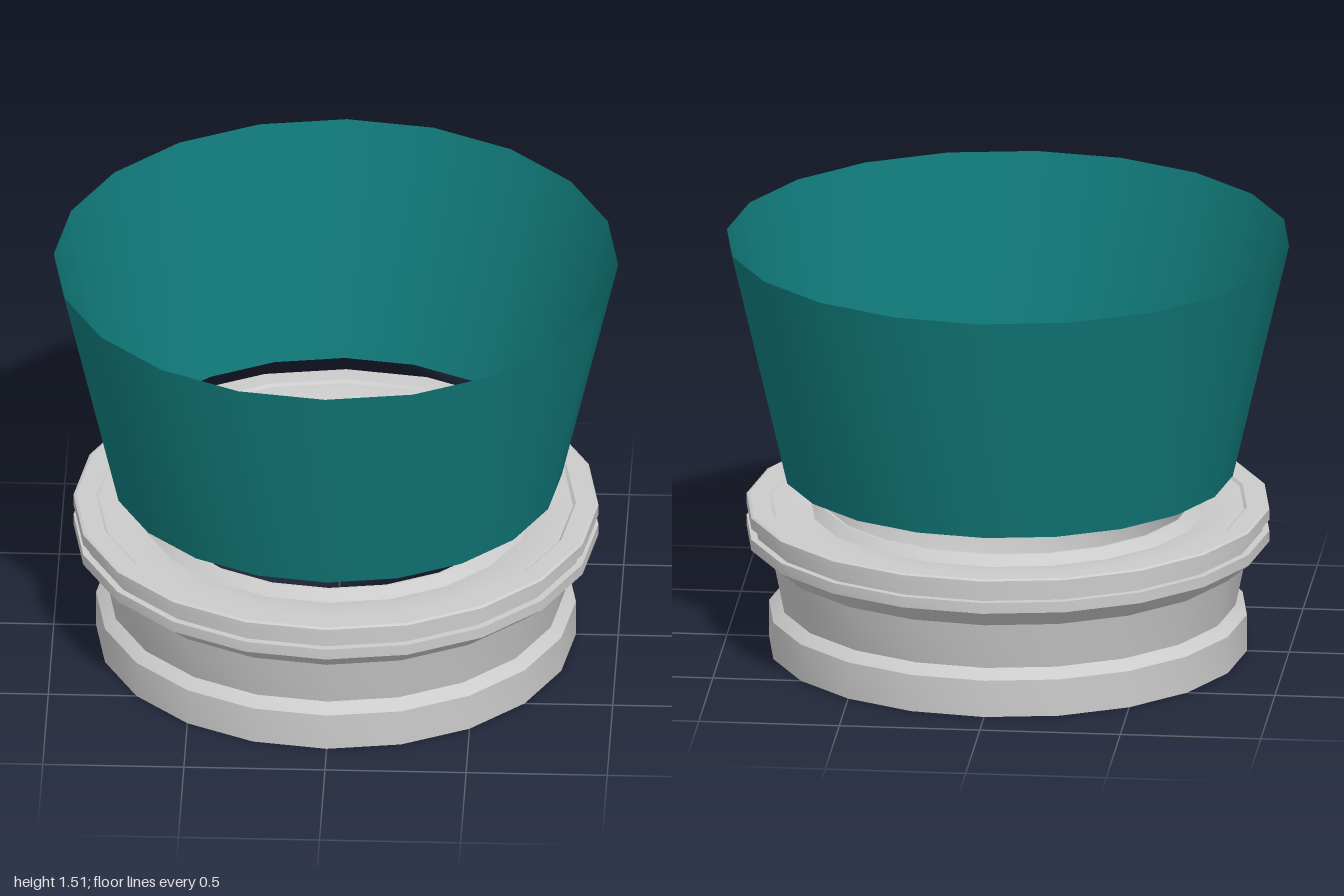
import * as THREE from 'three';
import { toCreasedNormals } from 'three/addons/utils/BufferGeometryUtils.js';

const SIDES = 20;

// Revolve a profile of [radius, height] pairs, smooth around and sharp at the steps
function revolve(name, profile, material) {
  const points = profile.map(([r, y]) => new THREE.Vector2(r, y));
  const geometry = toCreasedNormals(new THREE.LatheGeometry(points, SIDES), 0.4);
  const mesh = new THREE.Mesh(geometry, material);
  mesh.name = name;
  return mesh;
}

export function createModel() {
  const group = new THREE.Group();
  group.name = 'hoodAndCollar';

  const grey = new THREE.MeshStandardMaterial({ color: 0xcccccc });
  const teal = new THREE.MeshStandardMaterial({ color: 0x117a7a, side: THREE.DoubleSide });

  // Hollow collar: up the outside, across the rim, down the bore, back along the foot
  group.add(revolve('collar', [
    [0.85, 0], [0.85, 0.135], [0.81, 0.17],       // foot band and shoulder
    [0.845, 0.34], [0.93, 0.41],                  // waist and flare
    [0.93, 0.45], [0.905, 0.45], [0.905, 0.49],   // groove in the flange
    [0.93, 0.49], [0.93, 0.53], [0.92, 0.535],
    [0.85, 0.535], [0.84, 0.525],                 // stepped top
    [0.77, 0.525], [0.7, 0.51],
    [0.665, 0.545], [0.655, 0.545],               // inner lip
    [0.68, 0.43], [0.68, 0.31],                   // bore
    [0.66, 0.14], [0.645, 0.1], [0.645, 0],
    [0.85, 0],
  ], grey));

  // Open, thin flaring hood floating above the collar
  group.add(revolve('hood', [[0.8, 0.65], [1, 1.51]], teal));

  return group;
}
